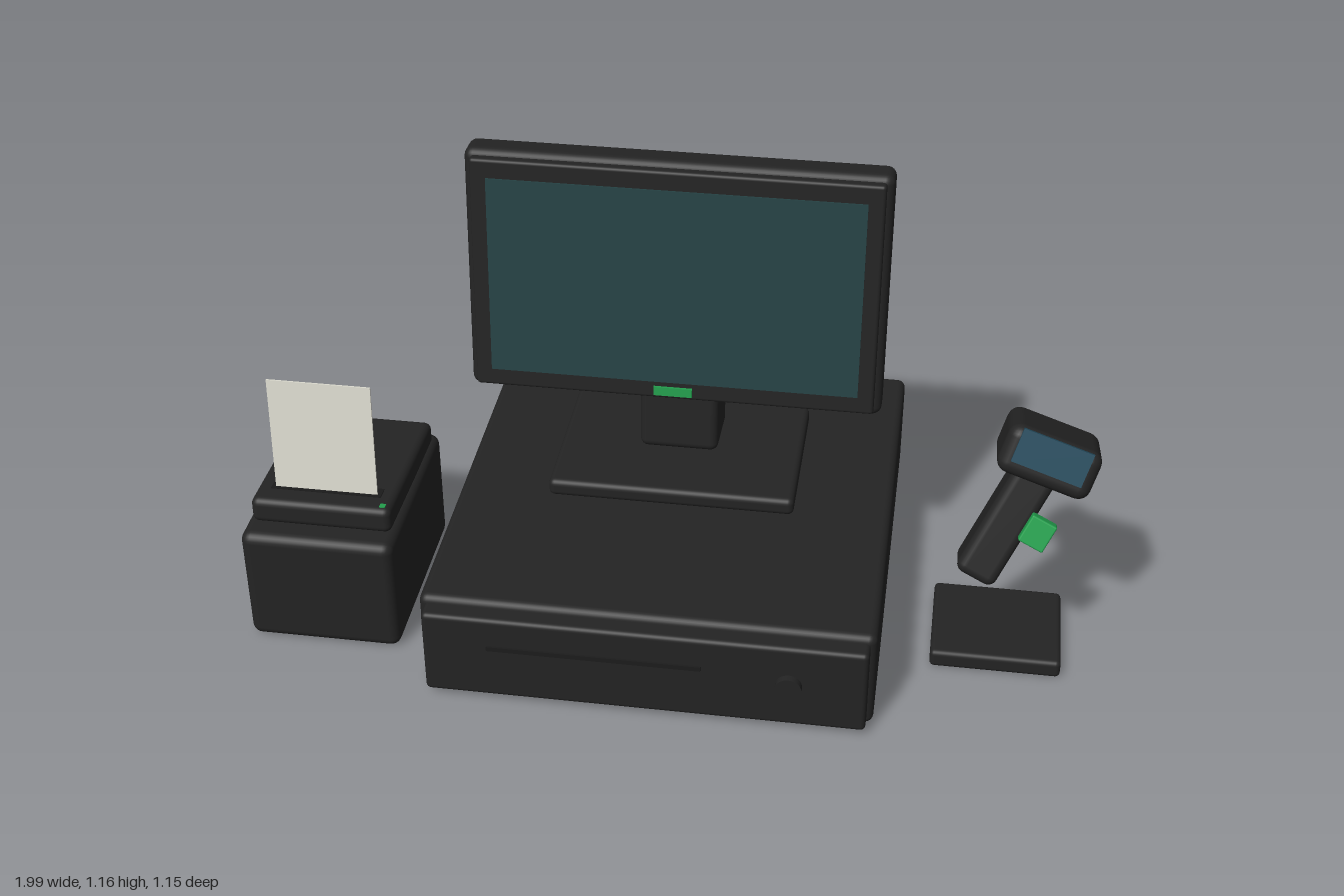
import * as THREE from 'three';
import { RoundedBoxGeometry } from 'three/addons/geometries/RoundedBoxGeometry.js';

const colour = (name, hex) => {
  const m = new THREE.MeshStandardMaterial({ color: hex });
  m.name = name;
  return m;
};

export function createModel() {
  const casing = colour('charcoal casing', 0x242424);
  const trim = colour('black trim', 0x1c1c1c);
  const glass = colour('teal screen', 0x264345);
  const blue = colour('blue display', 0x244a5c);
  const green = colour('green', 0x24a04e);
  const paper = colour('paper', 0xe0dfd3);
  paper.side = THREE.DoubleSide;

  const model = new THREE.Group();
  const add = (parent, name, geometry, material, pos, rot = [0, 0, 0]) => {
    const mesh = new THREE.Mesh(geometry, material);
    mesh.name = name;
    mesh.position.set(...pos);
    mesh.rotation.set(...rot);
    parent.add(mesh);
    return mesh;
  };
  const group = (name, pos = [0, 0, 0], rot = [0, 0, 0]) => {
    const g = new THREE.Group();
    g.name = name;
    g.position.set(...pos);
    g.rotation.set(...rot);
    model.add(g);
    return g;
  };
  const round = (w, h, d, r = 0.015) => new RoundedBoxGeometry(w, h, d, 3, r);
  const box = (w, h, d) => new THREE.BoxGeometry(w, h, d);

  // Cash drawer
  const drawer = group('cashDrawer', [-0.007, 0, 0]);
  add(drawer, 'drawerBody', round(1.065, 0.259, 1.093, 0.02), casing, [0, 0.132, -0.029]);
  add(drawer, 'drawerFront', round(1.035, 0.225, 0.08, 0.012), casing, [0, 0.133, 0.522]);
  add(drawer, 'drawerSlot', box(0.5, 0.012, 0.008), trim, [-0.115, 0.165, 0.563]);
  add(drawer, 'drawerLock', new THREE.CylinderGeometry(0.031, 0.031, 0.03, 32), casing,
    [0.338, 0.138, 0.564], [Math.PI / 2, 0, 0]);

  // Monitor stand
  const stand = group('monitorStand', [-0.007, 0, 0]);
  add(stand, 'standBase', round(0.6, 0.045, 0.418, 0.015), casing, [0, 0.315, -0.081]);
  add(stand, 'standNeck', round(0.193, 0.285, 0.167, 0.02), casing, [0, 0.497, -0.108], [-0.08, 0, 0]);

  // Monitor, leaning back
  const monitor = group('monitor', [-0.007, 0.859, -0.003], [-0.068, 0, 0]);
  add(monitor, 'monitorBody', round(0.985, 0.615, 0.083, 0.022), casing, [0, 0, 0]);
  add(monitor, 'monitorBezel', round(0.95, 0.585, 0.04, 0.008), casing, [0, 0.001, 0.042]);
  add(monitor, 'screen', box(0.873, 0.494, 0.006), glass, [0, 0.001, 0.063]);
  add(monitor, 'statusLight', box(0.092, 0.022, 0.009), green, [0, -0.27, 0.064]);

  // Receipt printer
  const printer = group('receiptPrinter', [-0.814, 0, 0]);
  add(printer, 'printerBody', round(0.372, 0.304, 0.494, 0.025), casing, [0, 0.155, 0.164]);
  const lid = new THREE.Group();
  lid.name = 'printerLid';
  lid.position.set(0, 0.327, 0.143);
  lid.rotation.x = -0.045;
  printer.add(lid);
  add(lid, 'lidCover', round(0.342, 0.066, 0.415, 0.018), casing, [0, 0, 0]);
  add(lid, 'paperSlot', box(0.27, 0.008, 0.036), trim, [0, 0.031, 0.135]);
  add(lid, 'printerLight', box(0.014, 0.008, 0.014), green, [0.149, 0.031, 0.186]);
  add(printer, 'receipt', box(0.25, 0.31, 0.004), paper, [0, 0.506, 0.275], [-0.06, 0, 0]);

  // Hand scanner
  const scanner = group('scanner');
  const head = new THREE.Group();
  head.name = 'scannerHead';
  head.position.set(0.875, 0.588, 0.194);
  head.rotation.set(-0.31, 0, -0.3);
  scanner.add(head);
  add(head, 'headShell', round(0.222, 0.12, 0.19, 0.03), casing, [0, 0, 0]);
  add(head, 'headDisplay', box(0.167, 0.082, 0.009), blue, [0, 0.018, 0.097]);
  const grip = [-0.31, 0, -0.44];
  add(scanner, 'handle', round(0.1, 0.31, 0.112, 0.022), casing, [0.794, 0.43, 0.241], grip);
  add(scanner, 'trigger', round(0.063, 0.07, 0.03, 0.004), green, [0.864, 0.44, 0.302], grip);

  // Cable arching down behind the scanner
  const path = new THREE.CatmullRomCurve3([
    [0.15, 0.55], [0.09, 0.54], [0.02, 0.513], [-0.057, 0.438], [-0.107, 0.335], [-0.117, 0.215],
  ].map(([z, y]) => new THREE.Vector3(0.842, y, z)));
  add(scanner, 'cable', new THREE.TubeGeometry(path, 40, 0.022, 14), casing, [0, 0, 0]);
  const end = path.getPoint(1);
  const tangent = path.getTangent(1);
  const cap = add(scanner, 'cableEnd', new THREE.CircleGeometry(0.022, 14), casing, end.toArray());
  cap.lookAt(end.clone().add(tangent));

  // Scanner rest pad
  add(scanner, 'restPad', round(0.31, 0.046, 0.275, 0.012), casing, [0.8, 0.026, 0.152]);

  return model;
}
